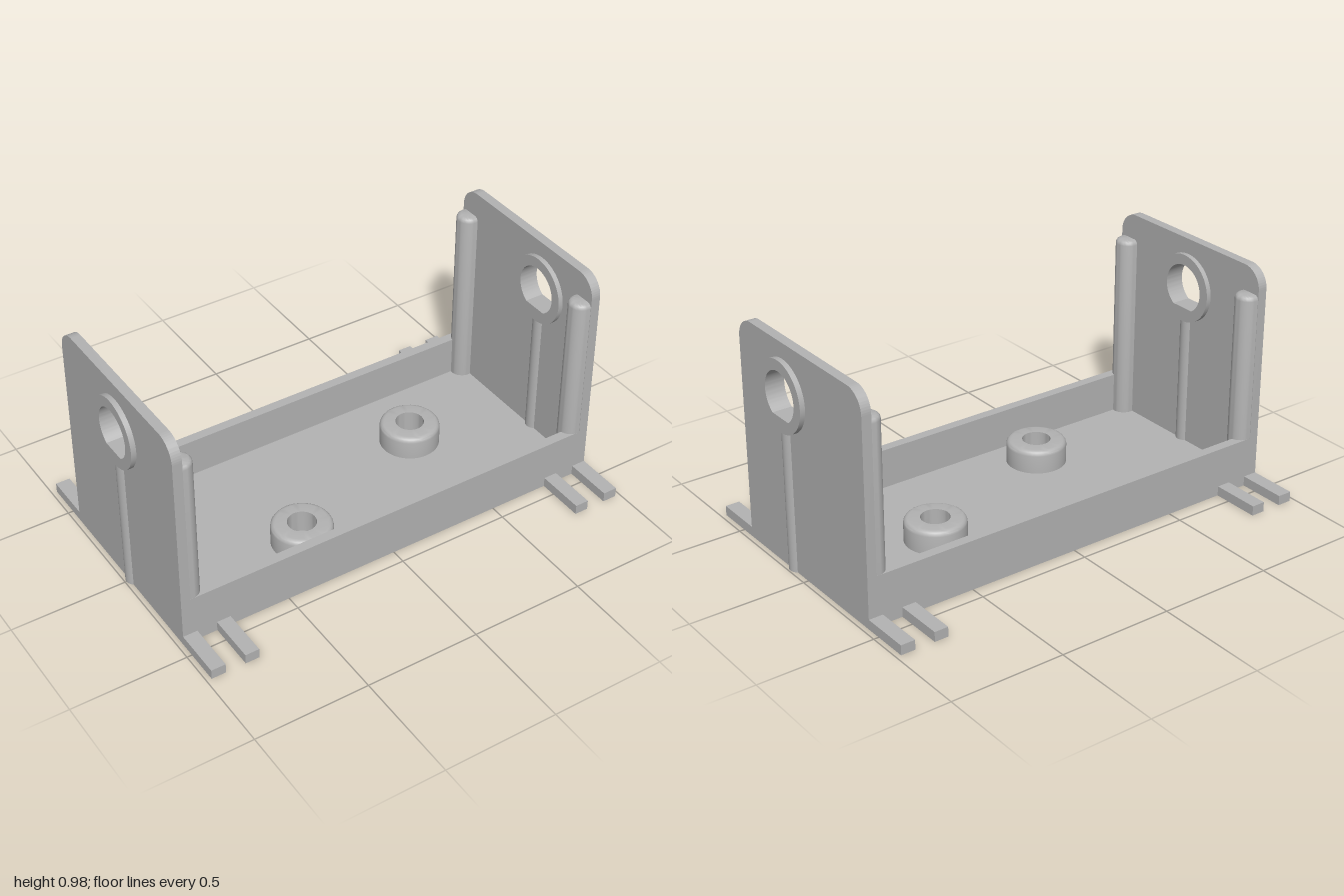
import * as THREE from 'three';
import { toCreasedNormals } from 'three/addons/utils/BufferGeometryUtils.js';

const grey = new THREE.MeshStandardMaterial({ color: 0xb3b3b3 });
grey.name = 'plainGrey';

const HALF_DEPTH = 0.435, FLOOR = 0.043, PLATE_IN = 0.936, PLATE_OUT = 0.978;

function add(parent, name, geometry, x = 0, y = 0, z = 0) {
  const mesh = new THREE.Mesh(geometry, grey);
  mesh.name = name;
  mesh.position.set(x, y, z);
  parent.add(mesh);
  return mesh;
}

// Box given by its minimum and maximum corners
function block(parent, name, [x0, y0, z0], [x1, y1, z1]) {
  const geometry = new THREE.BoxGeometry(x1 - x0, y1 - y0, z1 - z0);
  return add(parent, name, geometry, (x0 + x1) / 2, (y0 + y1) / 2, (z0 + z1) / 2);
}

// Extrudes a (z, y) outline along x, from x0 to x1
function slab(shape, x0, x1) {
  const geometry = new THREE.ExtrudeGeometry(shape, { depth: x1 - x0, bevelEnabled: false, curveSegments: 40 });
  geometry.rotateY(-Math.PI / 2).translate(x1, 0, 0);
  return toCreasedNormals(geometry, 0.6);
}

// Lathe with sharp corners kept
function turned(points) {
  const profile = points.map(([r, y]) => new THREE.Vector2(r, y));
  return toCreasedNormals(new THREE.LatheGeometry(profile, 40), 0.6);
}

// Quarter-round edge points ending a cylinder of radius r at height h
function roundedEdge(r, h, f) {
  return [0, 1, 2, 3, 4].map((i) => {
    const a = (i / 4) * Math.PI / 2;
    return [r - f + f * Math.cos(a), h - f + f * Math.sin(a)];
  });
}

// Upright plate with rounded top corners and a round opening at (z, y)
function plateShape(z, y) {
  const top = 0.98, r = 0.09, d = HALF_DEPTH;
  const s = new THREE.Shape();
  s.moveTo(-d, 0);
  s.lineTo(d, 0);
  s.lineTo(d, top - r);
  s.absarc(d - r, top - r, r, 0, Math.PI / 2, false);
  s.lineTo(-d + r, top);
  s.absarc(-d + r, top - r, r, Math.PI / 2, Math.PI, false);
  s.closePath();
  s.holes.push(new THREE.Path().absarc(z, y, 0.125, 0, Math.PI * 2, true));
  return s;
}

// Ring with a D-shaped bore, flat at the bottom
function ringShape(z, y) {
  const s = new THREE.Shape().absarc(z, y, 0.151, 0, Math.PI * 2, false);
  const a = Math.asin(0.088 / 0.105);
  const bore = new THREE.Path();
  bore.absarc(z, y, 0.105, -a, Math.PI + a, false);
  bore.closePath();
  s.holes.push(bore);
  return s;
}

export function createModel() {
  const model = new THREE.Group();
  model.name = 'bracketTray';

  // Tray floor and long walls
  block(model, 'floor', [-PLATE_IN, 0, -HALF_DEPTH], [PLATE_IN, FLOOR, HALF_DEPTH]);
  for (const s of [1, -1]) {
    const wall = new THREE.BoxGeometry(PLATE_IN * 2, 0.218 - FLOOR, 0.043);
    add(model, s > 0 ? 'frontWall' : 'backWall', wall, 0, (0.218 + FLOOR) / 2, s * (HALF_DEPTH - 0.0215));
  }

  // End plates with their bearing rings, ribs, corner posts and feet
  const post = turned([[0.052, FLOOR], ...roundedEdge(0.052, 0.868, 0.02), [0, 0.868]]);
  const boreY = 0.762;
  for (const [side, label, boreZ] of [[1, 'left', 0.11], [-1, 'right', 0]]) {
    const end = new THREE.Group();
    end.name = label + 'End';
    model.add(end);
    const span = (a, b) => (side > 0 ? [a, b] : [-b, -a]);

    add(end, 'endPlate', slab(plateShape(boreZ, boreY), ...span(PLATE_IN, PLATE_OUT)));
    add(end, 'bearingRing', slab(ringShape(boreZ, boreY), ...span(0.915, 1)));
    add(end, 'rib', new THREE.CylinderGeometry(0.037, 0.037, 0.63, 32), side * 0.957, 0.315, boreZ);

    for (const front of [1, -1]) {
      add(end, 'cornerPost', post, side * 0.925, 0, front * 0.383);
      for (const [a, b] of [[0.915, PLATE_OUT], [0.767, 0.828]]) {
        const foot = new THREE.BoxGeometry(b - a, FLOOR, 0.65 - HALF_DEPTH);
        add(end, 'foot', foot, side * (a + b) / 2, FLOOR / 2, front * (0.65 + HALF_DEPTH) / 2);
      }
    }
  }

  // Hollow bosses on the floor
  const boss = turned([[0.129, FLOOR], ...roundedEdge(0.129, 0.145, 0.022), [0.061, 0.145], [0.061, FLOOR]]);
  for (const [x, z] of [[0.435, -0.088], [-0.3, 0.214]]) add(model, 'boss', boss, x, 0, z);

  return model;
}
